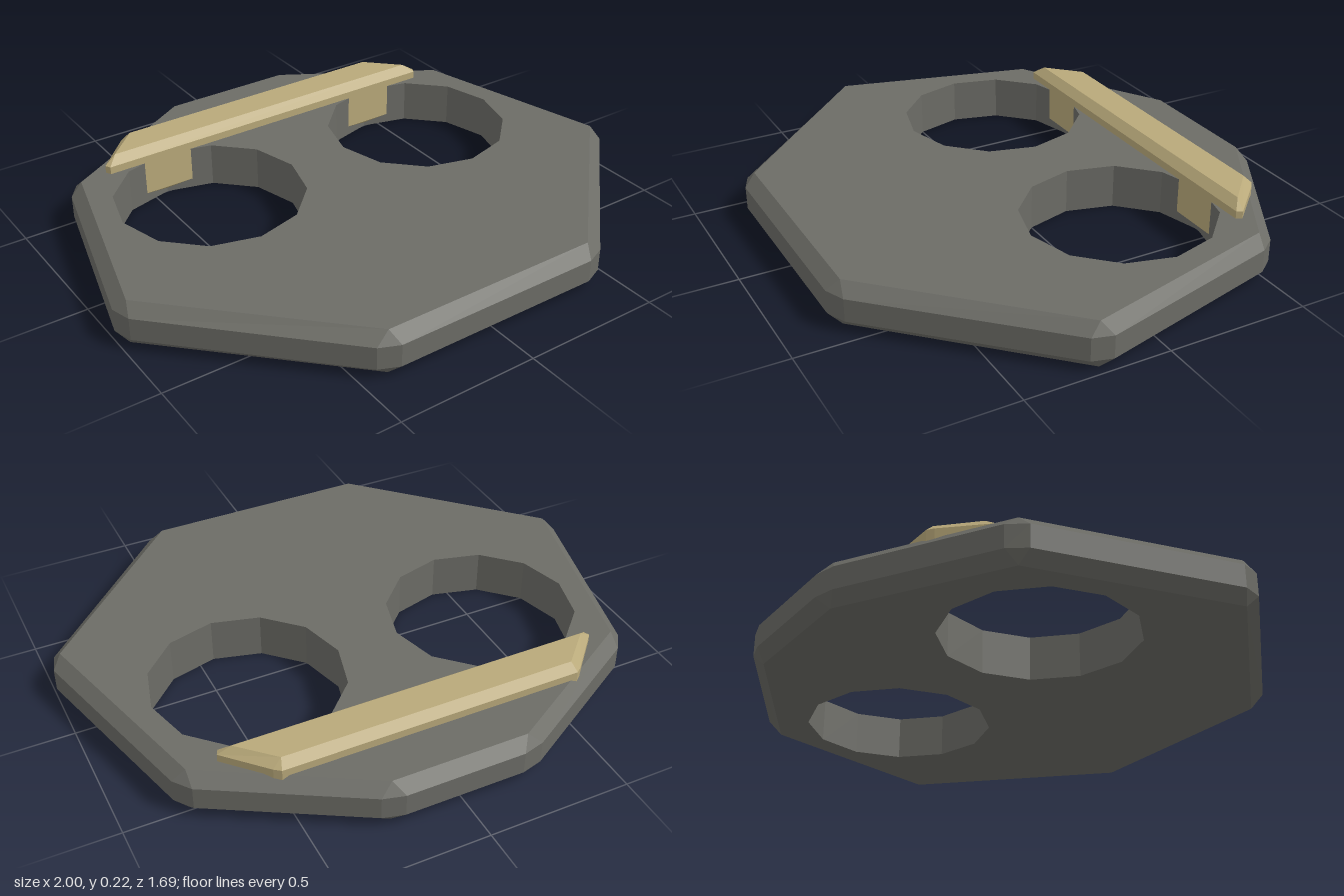
import * as THREE from 'three';

const plateMaterial = new THREE.MeshStandardMaterial({ color: 0x6c6c66 });
plateMaterial.name = 'dark grey';
const barMaterial = new THREE.MeshStandardMaterial({ color: 0xb9a97a });
barMaterial.name = 'tan';

// Completes a right-hand half outline (front to back) with its mirror image.
const mirror = (half) => [...half, ...half.map(([x, z]) => [-x, z]).reverse()];

// Slab with bevelled rims. Each cap corner meets two points of the wider middle outline.
function bevelledSlab(capHalf, rimHalf, [y0, y1, y2, y3], holes = []) {
  const cap = mirror(capHalf), rim = mirror(rimHalf);
  const pos = [];
  const tri = (...pts) => pts.forEach((p) => pos.push(...p));
  const quad = (a, b, c, d) => { tri(a, b, c); tri(a, c, d); };
  const at = ([x, z], y) => [x, y, z];
  const wall = (ring, low, high) => ring.forEach((a, i) => {
    const b = ring[(i + 1) % ring.length];
    quad(at(a, low), at(b, low), at(b, high), at(a, high));
  });

  // Upright sides, and the walls of the holes
  wall(rim, y1, y2);
  holes.forEach((hole) => wall(hole, y0, y3));

  // Sloping rims with a small triangle at each corner
  cap.forEach((c, i) => {
    const next = cap[(i + 1) % cap.length];
    const r0 = rim[2 * i], r1 = rim[2 * i + 1], r2 = rim[(2 * i + 2) % rim.length];
    tri(at(r0, y2), at(r1, y2), at(c, y3));
    quad(at(r1, y2), at(r2, y2), at(next, y3), at(c, y3));
    tri(at(r1, y1), at(r0, y1), at(c, y0));
    quad(at(r2, y1), at(r1, y1), at(c, y0), at(next, y0));
  });

  // Flat top and bottom
  const flat = (ring) => ring.map(([x, z]) => new THREE.Vector2(x, -z));
  const all = [...cap, ...holes.flat()];
  THREE.ShapeUtils.triangulateShape(flat(cap), holes.map(flat)).forEach(([a, b, c]) => {
    tri(at(all[a], y3), at(all[b], y3), at(all[c], y3));
    tri(at(all[c], y0), at(all[b], y0), at(all[a], y0));
  });

  const geometry = new THREE.BufferGeometry();
  geometry.setAttribute('position', new THREE.Float32BufferAttribute(pos, 3));
  geometry.computeVertexNormals();
  return geometry;
}

// Twelve-sided opening, wound opposite to the outer outline
function opening(cx, cz, radius) {
  return Array.from({ length: 12 }, (_, i) => {
    const a = (i / 12) * Math.PI * 2;
    return [cx + Math.cos(a) * radius, cz + Math.sin(a) * radius];
  });
}

export function createModel() {
  const model = new THREE.Group();
  model.name = 'piercedPlate';

  // Eight-sided plate with two round openings
  const plate = new THREE.Mesh(bevelledSlab(
    [[0.4, 0.8], [0.965, 0.23], [0.78, -0.485], [0.24, -0.805]],
    [[0.38, 0.842], [0.45, 0.812], [0.98, 0.27], [1, 0.2],
      [0.825, -0.475], [0.78, -0.535], [0.285, -0.825], [0.21, -0.845]],
    [0, 0.04, 0.12, 0.16],
    [opening(-0.445, -0.167, 0.333), opening(0.445, -0.167, 0.333)],
  ), plateMaterial);
  plate.name = 'plate';

  // Tapered bar sunk into the plate, showing at the back of each opening
  const bar = new THREE.Mesh(bevelledSlab(
    [[0.635, -0.505], [0.52, -0.618]],
    [[0.67, -0.475], [0.68, -0.495], [0.552, -0.63], [0.53, -0.647]],
    [0.01, 0.035, 0.187, 0.215],
  ), barMaterial);
  bar.name = 'crossBar';

  model.add(plate, bar);
  return model;
}
